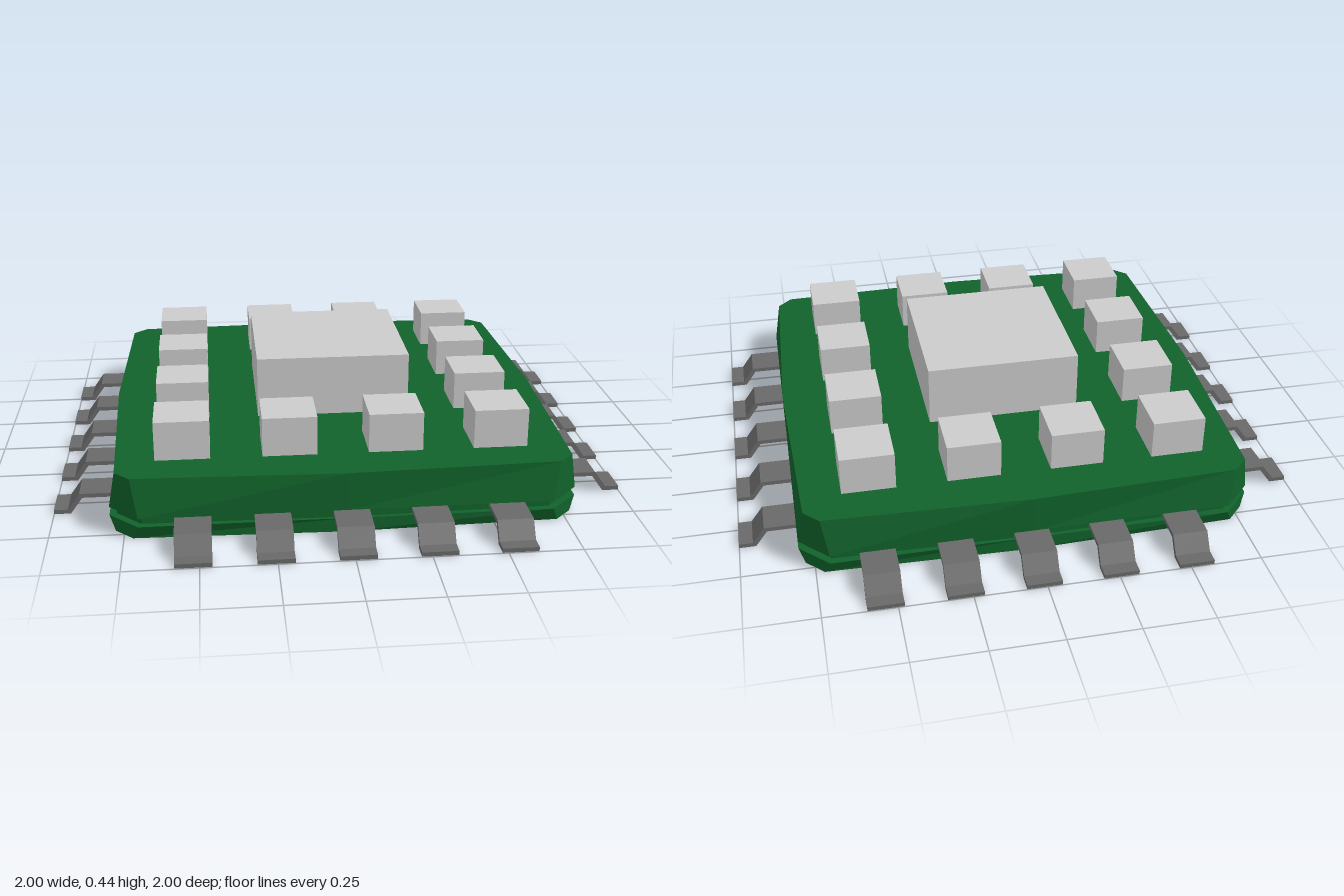
import * as THREE from 'three';

const grey = new THREE.MeshStandardMaterial({ color: 0xcccccc, flatShading: true });
const green = new THREE.MeshStandardMaterial({ color: 0x11622b, flatShading: true });
const dark = new THREE.MeshStandardMaterial({ color: 0x696969, flatShading: true });

// Chamfered square ring: m = half width mid-side, a / b = chamfer corner coordinates
function ring(y, m, a, b) {
  const pts = [];
  for (let k = 0; k < 4; k++) {
    for (let [x, z] of [[m, 0], [a, b], [b, a]]) {
      for (let r = 0; r < k; r++) [x, z] = [-z, x];
      pts.push([x, y, z]);
    }
  }
  return pts;
}

// Closed, faceted solid through stacked rings
function loft(rings) {
  const pos = [];
  const tri = (...p) => p.forEach((v) => pos.push(...v));
  const n = rings[0].length;
  const bottom = rings[0], top = rings[rings.length - 1];
  for (let i = 0; i < n; i++) {
    const j = (i + 1) % n;
    for (let r = 0; r < rings.length - 1; r++) {
      const lo = rings[r], up = rings[r + 1];
      tri(lo[i], up[i], lo[j]);
      tri(lo[j], up[i], up[j]);
    }
    tri([0, top[0][1], 0], top[j], top[i]);
    tri([0, bottom[0][1], 0], bottom[i], bottom[j]);
  }
  const g = new THREE.BufferGeometry();
  g.setAttribute('position', new THREE.Float32BufferAttribute(pos, 3));
  g.computeVertexNormals();
  return g;
}

export function createModel() {
  const model = new THREE.Group();
  model.name = 'circuitModule';

  const add = (name, geometry, material, x = 0, y = 0, z = 0) => {
    const mesh = new THREE.Mesh(geometry, material);
    mesh.name = name;
    mesh.position.set(x, y, z);
    model.add(mesh);
    return mesh;
  };

  // Board body with a shallow groove where the pins leave it
  add('board', loft([
    ring(0, 0.8, 0.78, 0.72),
    ring(0.05, 0.8, 0.8, 0.7),
    ring(0.05, 0.79, 0.775, 0.69),
    ring(0.08, 0.79, 0.775, 0.69),
    ring(0.08, 0.8, 0.8, 0.7),
    ring(0.215, 0.8, 0.775, 0.723),
  ]), green);

  // Large central chip
  add('centralChip', new THREE.BoxGeometry(0.555, 0.22, 0.555), grey, 0, 0.325, 0);

  // Ring of twelve small chips
  const chip = new THREE.BoxGeometry(0.188, 0.138, 0.188);
  const slots = [-0.55, -0.185, 0.18, 0.545];
  slots.forEach((x, i) => slots.forEach((z, j) => {
    if (i % 3 === 0 || j % 3 === 0) add('smallChip', chip, grey, x, 0.284, z);
  }));

  // Gull-wing pins, five on every side
  const profile = new THREE.Shape([
    [0.76, 0.06], [0.9, 0.06], [0.942, 0.002], [1, 0.002],
    [1, 0.017], [0.952, 0.017], [0.91, 0.075], [0.76, 0.075],
  ].map(([x, y]) => new THREE.Vector2(x, y)));
  const pin = new THREE.ExtrudeGeometry(profile, { depth: 0.122, bevelEnabled: false });
  pin.translate(0, 0, -0.061);

  for (let side = 0; side < 4; side++) {
    for (let i = 0; i < 5; i++) {
      const offset = (i - 2) * 0.265 + 0.01;
      const alongX = side % 2 === 1;
      const mesh = add('pin', pin, dark, alongX ? offset : 0, 0, alongX ? 0 : -offset);
      mesh.rotation.y = side * Math.PI / 2;
    }
  }
  return model;
}
